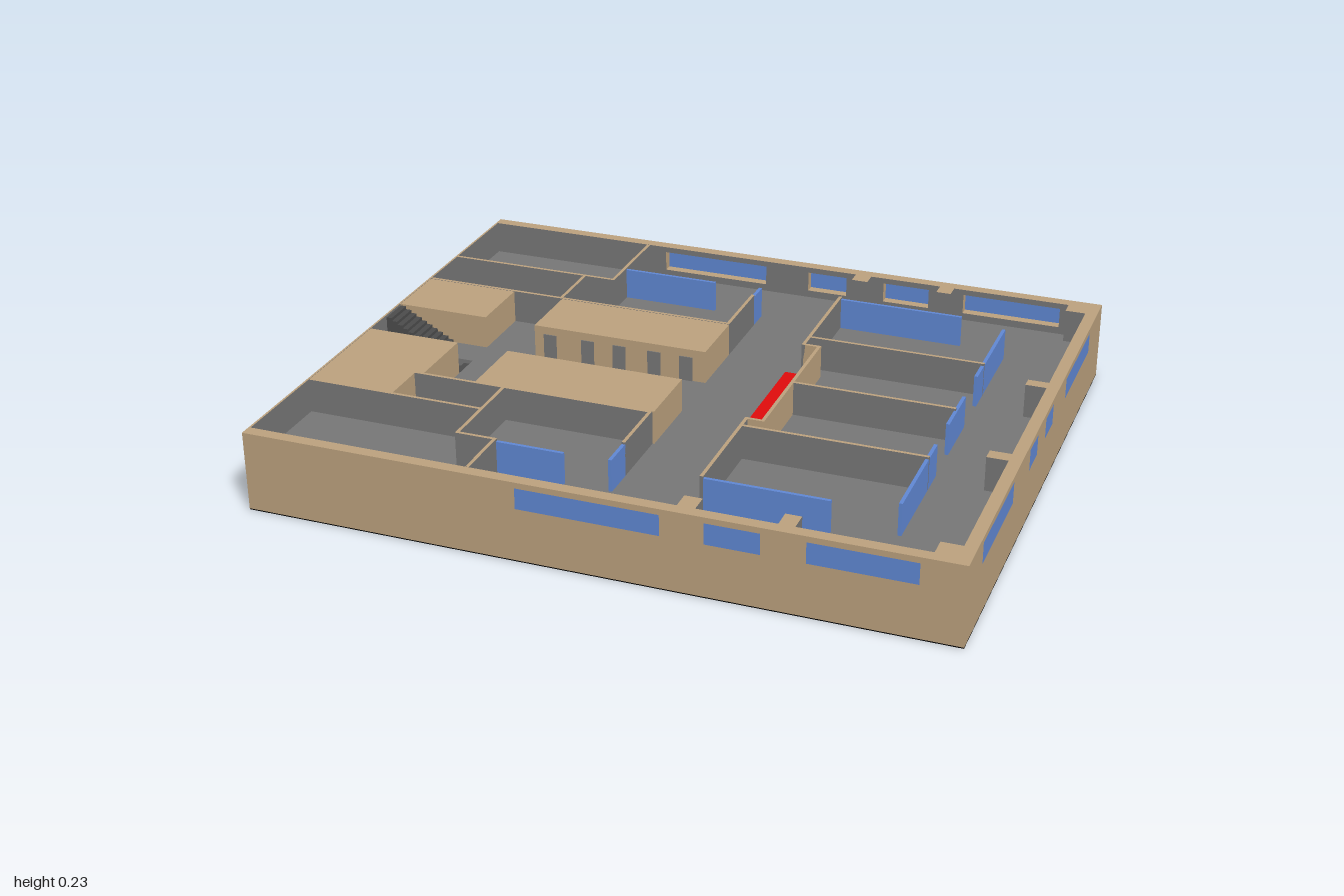
import * as THREE from 'three';

const mat = (color) => new THREE.MeshStandardMaterial({ color });

export function createModel() {
  const tan = mat(0xbca27e), gray = mat(0x777777), blue = mat(0x6088d4), red = mat(0xe00c0c);
  const black = mat(0x050505), dark = mat(0x4c4c4c), brown = mat(0x84502c);
  const model = new THREE.Group();
  const F = 0.135, H = 0.235, X = 1, Z = 0.82, BASE = 0.003; // floor, wall top, half sizes

  function box(name, x0, x1, y0, y1, z0, z1, material) {
    const m = new THREE.Mesh(new THREE.BoxGeometry(x1 - x0, y1 - y0, z1 - z0), material);
    m.position.set((x0 + x1) / 2, (y0 + y1) / 2, (z0 + z1) / 2);
    m.name = name;
    model.add(m);
    return m;
  }

  // Underside plate and floor slab with a stairwell cut out
  box('underside', -X, X, 0, BASE, -Z, Z, black);
  const slab = new THREE.Shape([[-0.994, -0.785], [0.965, -0.785], [0.965, 0.785], [-0.994, 0.785]]
    .map((p) => new THREE.Vector2(...p)));
  slab.holes.push(new THREE.Path([[-0.992, -0.1], [-0.992, -0.01], [-0.71, -0.01], [-0.71, -0.1]]
    .map((p) => new THREE.Vector2(...p))));
  const floor = new THREE.Mesh(
    new THREE.ExtrudeGeometry(slab, { depth: F - BASE, bevelEnabled: false }), gray);
  floor.rotation.x = -Math.PI / 2;
  floor.position.y = BASE;
  floor.name = 'floor';
  model.add(floor);

  // Outer wall: tan outside skin, gray inside skin, windows cut through both.
  // Local +z points outwards, windows are listed along local x.
  function outerWall(name, half, windows, px, pz, angle) {
    const g = new THREE.Group();
    g.name = name;
    const shape = new THREE.Shape([[-half, BASE], [half, BASE], [half, H], [-half, H]]
      .map((p) => new THREE.Vector2(...p)));
    const y0 = 0.157, y1 = 0.218;
    for (const [a, b] of windows) {
      shape.holes.push(new THREE.Path([[a, y0], [a, y1], [b, y1], [b, y0]]
        .map((p) => new THREE.Vector2(...p))));
      const pane = new THREE.Mesh(new THREE.BoxGeometry(b - a, y1 - y0, 0.006), blue);
      pane.position.set((a + b) / 2, (y0 + y1) / 2, -0.003);
      pane.name = 'window';
      g.add(pane);
    }
    [[0.02, -0.02, tan], [0.015, -0.035, gray]].forEach(([depth, z, face]) => {
      const skin = new THREE.Mesh(
        new THREE.ExtrudeGeometry(shape, { depth, bevelEnabled: false }), [face, tan]);
      skin.position.z = z;
      skin.name = 'wallSkin';
      g.add(skin);
    });
    g.position.set(px, 0, pz);
    g.rotation.y = angle;
    model.add(g);
  }
  outerWall('frontWall', X, [[-0.2, 0.2], [0.32, 0.47], [0.59, 0.88]], 0, Z, 0);
  outerWall('backWall', X, [[-0.88, -0.58], [-0.47, -0.325], [-0.205, -0.08], [0.06, 0.4]], 0, -Z, Math.PI);
  outerWall('leftWall', 0.785, [[-0.67, -0.34], [-0.15, -0.055], [0.045, 0.14], [0.31, 0.64]], X, 0, Math.PI / 2);
  box('rightWall', -X, -0.994, BASE, H, -0.785, 0.785, [gray, tan, tan, tan, tan, tan]);

  // Pillars against the outer walls
  const pillar = (x0, x1, z0, z1) => box('pillar', x0, x1, F, H, z0, z1, [gray, gray, tan, gray, gray, gray]);
  for (const [a, b] of [[0.235, 0.285], [0.505, 0.55], [0.905, 0.965]]) {
    pillar(a, b, -0.785, -0.74);
    pillar(a, b, 0.73, 0.785);
  }
  pillar(0.905, 0.965, -0.235, -0.2);
  pillar(0.905, 0.965, 0.22, 0.26);

  // Interior walls, gray with tan tops, and blue glass screens: [x0, x1, z0, z1] centre lines
  const T = 0.005;
  function runs(name, list, material, top) {
    for (const [x0, x1, z0, z1] of list)
      box(name, x0 - T, x1 + T, F, top, z0 - T, z1 + T, material);
  }
  runs('innerWall', [
    [-0.988, -0.46, -0.485, -0.485], [-0.46, -0.46, -0.779, -0.491],
    [-0.988, -0.02, -0.3, -0.3], [-0.555, -0.555, -0.479, -0.306],
    [-0.015, -0.015, -0.52, -0.3],
    [0.24, 0.24, -0.6, -0.24], [0.246, 0.76, -0.295, -0.295],
    [0.293, 0.755, 0.01, 0.01], [0.246, 0.76, 0.31, 0.31], [0.24, 0.24, 0.265, 0.615],
    [-0.73, -0.02, 0.322, 0.322], [-0.46, -0.46, 0.328, 0.609],
    [-0.988, -0.466, 0.465, 0.465], [-0.02, -0.02, 0.328, 0.51],
    [-0.46, -0.35, 0.615, 0.615], [-0.35, -0.35, 0.621, 0.779],
  ], [gray, gray, tan, gray, gray, gray], H);
  runs('lobbyWall', [
    [0.287, 0.287, -0.24, 0.265], [0.246, 0.281, -0.24, -0.24], [0.246, 0.281, 0.265, 0.265],
  ], tan, H);
  runs('glassScreen', [
    [-0.454, -0.165, -0.587, -0.587], [-0.015, -0.015, -0.59, -0.526],
    [0.246, 0.615, -0.6, -0.6], [0.246, 0.585, 0.615, 0.615],
    [-0.339, -0.155, 0.615, 0.615], [-0.02, -0.02, 0.516, 0.605],
    [0.76, 0.76, -0.55, -0.301], [0.76, 0.76, -0.289, -0.22],
    [0.76, 0.76, -0.075, 0.095], [0.76, 0.76, 0.23, 0.304], [0.76, 0.76, 0.316, 0.565],
  ], blue, H - 0.006);

  // Closed cores with flat tan roofs
  for (const [x0, x1, z0, z1] of [
    [-0.55, -0.01, -0.295, -0.09], [-0.55, -0.01, 0.1, 0.317],
    [-0.994, -0.71, -0.295, -0.09], [-0.994, -0.71, 0.1, 0.317], [-0.994, -0.735, 0.317, 0.46],
  ]) box('core', x0, x1, F, H - 0.001, z0, z1, tan);

  // Doors along the corridor
  for (const x of [-0.5, -0.38, -0.28, -0.17, -0.07])
    box('corridorDoor', x - 0.02, x + 0.02, F, F + 0.075, -0.092, -0.087, gray);
  for (const x of [-0.47, -0.05])
    box('brownDoor', x - 0.022, x + 0.022, F, F + 0.075, 0.097, 0.102, brown);

  // Red floor area in the lobby
  box('redFloor', 0.187, 0.281, F, F + 0.004, -0.234, 0.259, red);

  // Stairs: one flight rising towards the right wall, one descending beside it
  const N = 10;
  for (let i = 0; i < N; i++) {
    const up = -0.82 - i * 0.0172;
    box('stepUp', up - 0.0172, up, F, F + (i + 1) * 0.0095, -0.088, 0.005, dark);
    const down = -0.71 - i * 0.028;
    box('stepDown', down - 0.028, down, BASE, F - (i + 1) * 0.011, 0.011, 0.099, dark);
  }
  return model;
}
